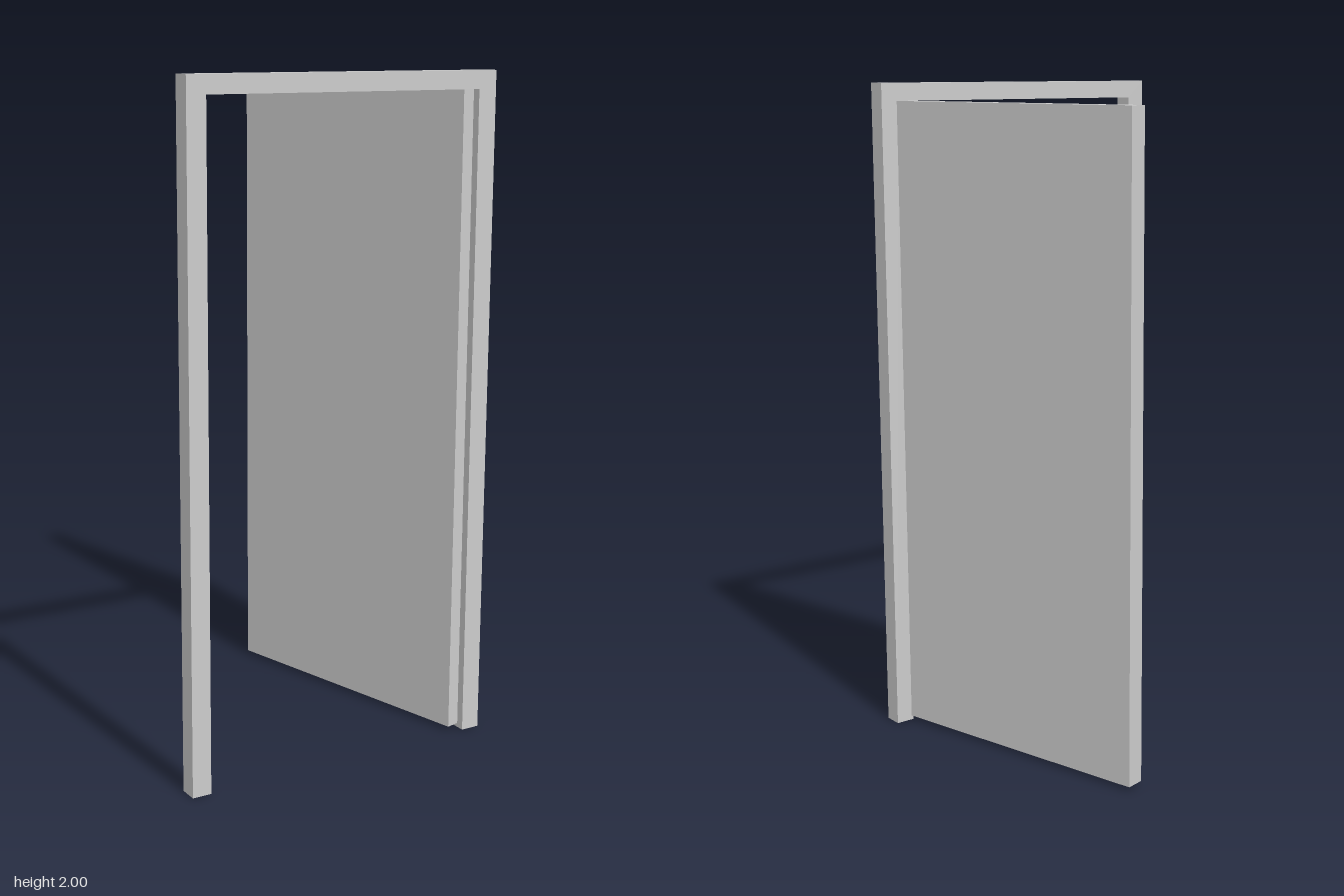
import * as THREE from 'three';

export function createModel() {
  const group = new THREE.Group();
  const material = new THREE.MeshStandardMaterial({ color: 0xcccccc, flatShading: true });

  const halfWidth = 0.5, height = 2, depth = 0.057, frontZ = 0.454;
  const jamb = 0.059, lintel = 0.053;

  // Door frame: two jambs and a lintel, open at the floor
  const inner = halfWidth - jamb, top = height - lintel;
  const outline = new THREE.Shape([
    [-halfWidth, 0], [-inner, 0], [-inner, top], [inner, top],
    [inner, 0], [halfWidth, 0], [halfWidth, height], [-halfWidth, height],
  ].map(([x, y]) => new THREE.Vector2(x, y)));
  const frame = new THREE.Mesh(
    new THREE.ExtrudeGeometry(outline, { depth, bevelEnabled: false }), material);
  frame.name = 'doorFrame';
  frame.position.z = frontZ - depth;
  group.add(frame);

  // Door leaf, swung open to the back around the hinge at the left jamb
  const length = 0.905, bottom = 0.013;
  const hinge = new THREE.Group();
  hinge.name = 'doorHinge';
  hinge.position.set(0.427, 0, 0.432);
  hinge.rotation.y = THREE.MathUtils.degToRad(13.2);
  const door = new THREE.Mesh(new THREE.BoxGeometry(depth, top - bottom, length), material);
  door.name = 'doorLeaf';
  door.position.set(0, (top + bottom) / 2, -length / 2);
  hinge.add(door);
  group.add(hinge);

  return group;
}
